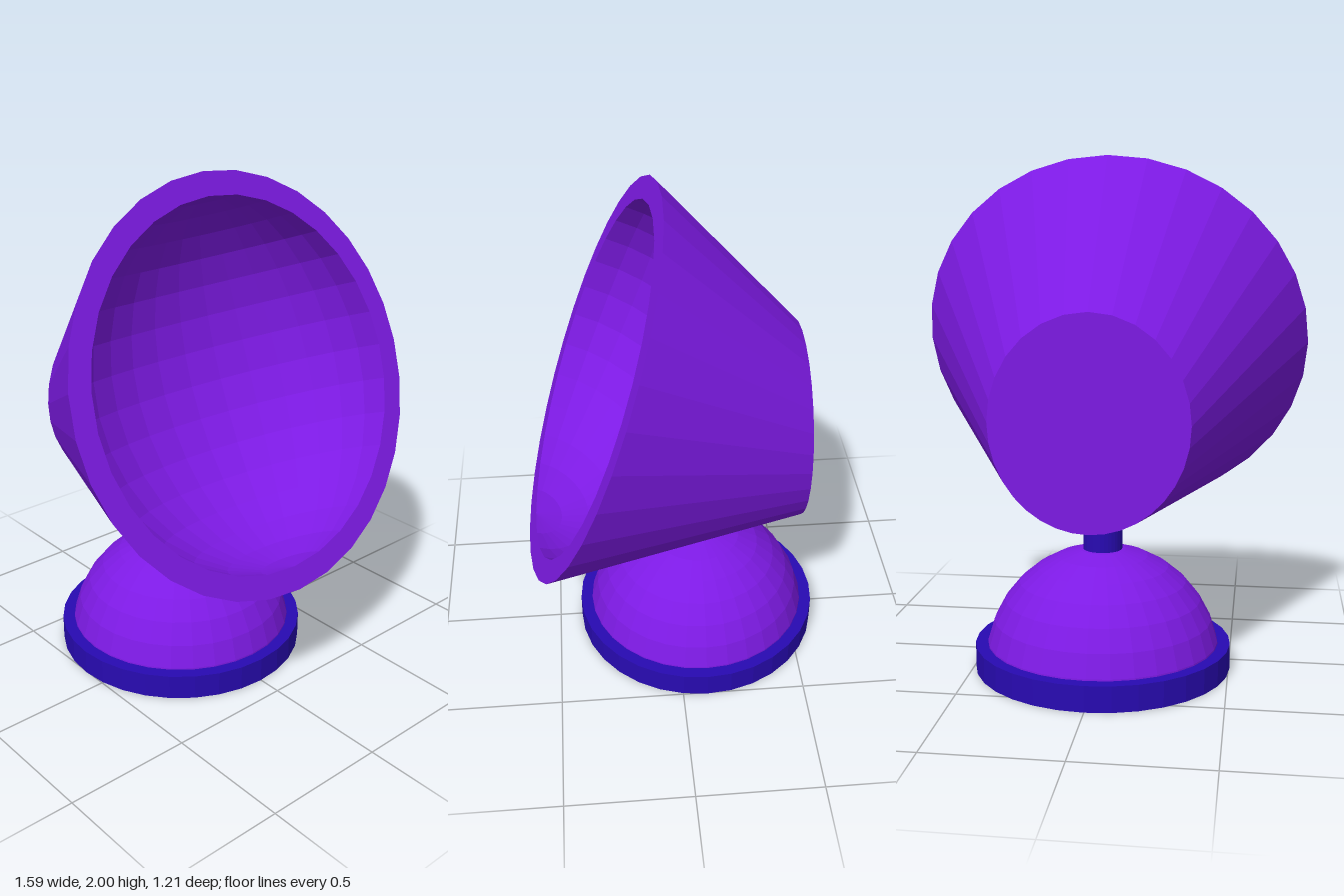
import * as THREE from 'three';

const PURPLE = 0x7d1ae4, BLUE = 0x280ab2;
const TILT = THREE.MathUtils.degToRad(20.7);
const HEAD = { y: 1.258, z: 0.32, rim: 0.795, bowl: 0.704, depth: 0.55, apex: 1.593, backZ: -0.49 };
const SIDES = 32;

function part(name, geometry, color, side = THREE.FrontSide) {
  const material = new THREE.MeshStandardMaterial({ color, flatShading: true, side });
  const mesh = new THREE.Mesh(geometry, material);
  mesh.name = name;
  return mesh;
}

function circle(radius) {
  return Array.from({ length: SIDES }, (_, i) => {
    const a = (i / SIDES) * Math.PI * 2;
    return new THREE.Vector2(Math.cos(a) * radius, Math.sin(a) * radius);
  });
}

// Tilted cone whose back is sliced off by an upright plane
function shadeGeometry() {
  const worldZ = (p) => HEAD.z - p.y * Math.sin(TILT) + p.z * Math.cos(TILT);
  const apex = new THREE.Vector3(0, 0, -HEAD.apex);
  const front = circle(HEAD.rim).map((p) => new THREE.Vector3(p.x, p.y, 0));
  const back = front.map((p) => {
    const t = (HEAD.backZ - worldZ(p)) / (worldZ(apex) - worldZ(p));
    return p.clone().lerp(apex, t);
  });
  const middle = back.reduce((s, p) => s.add(p), new THREE.Vector3()).divideScalar(SIDES);
  const points = [];
  for (let i = 0; i < SIDES; i++) {
    const j = (i + 1) % SIDES;
    points.push(front[i], back[i], front[j], front[j], back[i], back[j]);
    points.push(middle, back[j], back[i]);
  }
  const geometry = new THREE.BufferGeometry().setFromPoints(points);
  geometry.computeVertexNormals();
  return geometry;
}

export function createModel() {
  const model = new THREE.Group();
  model.name = 'lamp';

  // Foot: disc, dome and short neck
  const foot = new THREE.Group();
  foot.name = 'foot';
  foot.position.z = -0.1;
  const disc = part('baseDisc', new THREE.CylinderGeometry(0.505, 0.505, 0.1, SIDES), BLUE);
  disc.position.y = 0.05;
  const dome = part('dome',
    new THREE.SphereGeometry(0.465, SIDES, 8, 0, Math.PI * 2, 0, Math.PI / 2), PURPLE);
  dome.position.y = 0.015;
  const neck = part('neck', new THREE.CylinderGeometry(0.077, 0.077, 0.2, SIDES), BLUE);
  neck.position.y = 0.54;
  foot.add(disc, dome, neck);

  // Head: cone shade, flat rim and shallow rounded bowl
  const head = new THREE.Group();
  head.name = 'head';
  head.position.set(0, HEAD.y, HEAD.z);
  head.rotation.x = -TILT;
  const rimShape = new THREE.Shape(circle(HEAD.rim));
  rimShape.holes.push(new THREE.Path(circle(HEAD.bowl)));
  const bowl = new THREE.SphereGeometry(HEAD.bowl, SIDES / 2, SIDES / 2, Math.PI, Math.PI);
  bowl.scale(1, 1, HEAD.depth / HEAD.bowl);
  head.add(
    part('shade', shadeGeometry(), PURPLE),
    part('rim', new THREE.ShapeGeometry(rimShape), PURPLE),
    part('bowl', bowl, PURPLE, THREE.BackSide),
  );

  model.add(foot, head);
  return model;
}
